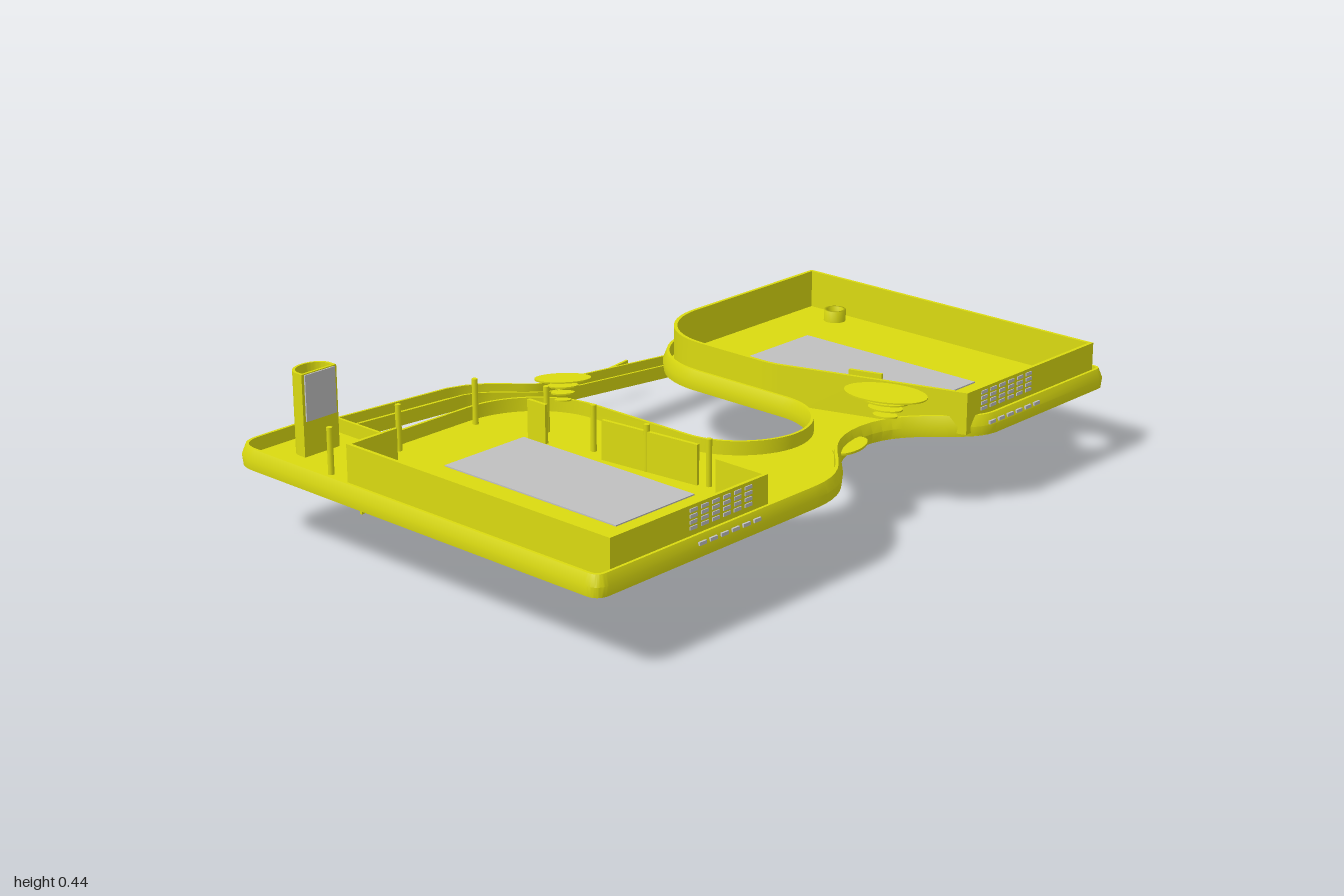
import * as THREE from 'three';
import { toCreasedNormals } from 'three/addons/utils/BufferGeometryUtils.js';

const yellow = new THREE.MeshStandardMaterial({ color: 0xdada10, side: THREE.DoubleSide });
yellow.name = 'yellow';
const grey = new THREE.MeshStandardMaterial({ color: 0xc0c0c0, side: THREE.DoubleSide });
grey.name = 'grey glass';

// Sweeps a convex section of [offset, height] points along a path of [x, z, y]
function sweep(path, section, closed = false) {
  const n = path.length, m = section.length, pos = [], idx = [];
  const dir = (a, b) => new THREE.Vector2(b[0] - a[0], b[1] - a[1]).normalize();
  path.forEach((p, i) => {
    const prev = path[(i + n - 1) % n], next = path[(i + 1) % n];
    const d1 = closed || i < n - 1 ? dir(p, next) : dir(prev, p);
    const d0 = closed || i > 0 ? dir(prev, p) : d1;
    const k = 1 / Math.max(0.4, 1 + d0.dot(d1));
    const nx = -(d0.y + d1.y) * k, nz = (d0.x + d1.x) * k;
    for (const [o, y] of section) pos.push(p[0] + nx * o, (p[2] || 0) + y, p[1] + nz * o);
  });
  for (let i = 0; i < (closed ? n : n - 1); i++) {
    for (let j = 0; j < m; j++) {
      const a = i * m + j, b = i * m + (j + 1) % m;
      const c = ((i + 1) % n) * m + j, d = ((i + 1) % n) * m + (j + 1) % m;
      idx.push(a, b, c, b, d, c);
    }
  }
  if (!closed) {
    const e = (n - 1) * m;
    for (let j = 1; j < m - 1; j++) idx.push(0, j + 1, j, e, e + j, e + j + 1);
  }
  const g = new THREE.BufferGeometry();
  g.setAttribute('position', new THREE.Float32BufferAttribute(pos, 3));
  g.setIndex(idx);
  return toCreasedNormals(g, 0.5);
}

const rect = (o0, o1, y0, y1) => [[o0, y0], [o0, y1], [o1, y1], [o1, y0]];

// Shape drawn in x and z, extruded between two heights
function slab(shape, y0, y1) {
  const g = new THREE.ExtrudeGeometry(shape, { depth: y1 - y0, bevelEnabled: false, curveSegments: 16 });
  return g.rotateX(Math.PI / 2).translate(0, y1, 0);
}

// Removes coincident points so that offsets stay clean
function outlinePoints(shape) {
  const out = [];
  for (const p of shape.getPoints(14)) {
    const q = out[out.length - 1];
    if (!q || Math.hypot(p.x - q[0], p.y - q[1]) > 0.002) out.push([p.x, p.y]);
  }
  const a = out[0], b = out[out.length - 1];
  if (Math.hypot(a[0] - b[0], a[1] - b[1]) < 0.002) out.pop();
  return out;
}

export function createModel() {
  const model = new THREE.Group();
  const add = (name, geometry, material = yellow, x = 0, y = 0, z = 0) => {
    const mesh = new THREE.Mesh(geometry, material);
    mesh.name = name;
    mesh.position.set(x, y, z);
    model.add(mesh);
    return mesh;
  };
  const box = (name, x, y, z, w, h, d, material) =>
    add(name, new THREE.BoxGeometry(w, h, d), material, x, y, z);

  // Base tray: two decks joined by a curved neck
  const base = new THREE.Shape();
  base.moveTo(-0.38, -1);
  base.lineTo(0.615, -1);
  base.quadraticCurveTo(0.65, -1, 0.65, -0.965);
  base.lineTo(0.65, -0.5);
  base.bezierCurveTo(0.64, -0.38, 0.46, -0.36, 0.46, -0.18);
  base.bezierCurveTo(0.46, 0.02, 0.65, 0.02, 0.65, 0.23);
  base.lineTo(0.65, 0.96);
  base.quadraticCurveTo(0.65, 1, 0.61, 1);
  base.lineTo(-0.57, 1);
  base.quadraticCurveTo(-0.65, 1, -0.65, 0.92);
  base.lineTo(-0.65, 0.68);
  base.lineTo(-0.415, 0.68);
  base.lineTo(-0.415, 0.41);
  base.bezierCurveTo(-0.415, 0.27, -0.31, 0.155, -0.17, 0.155);
  base.lineTo(0.16, 0.155);
  base.bezierCurveTo(0.27, 0.155, 0.35, 0.06, 0.35, -0.03);
  base.bezierCurveTo(0.35, -0.12, 0.27, -0.21, 0.16, -0.21);
  base.lineTo(-0.16, -0.21);
  base.bezierCurveTo(-0.3, -0.21, -0.41, -0.32, -0.41, -0.46);
  base.lineTo(-0.41, -0.97);
  base.quadraticCurveTo(-0.41, -1, -0.38, -1);
  const rim = outlinePoints(base);

  // Three-quarter round opening in the back deck
  const opening = new THREE.Path();
  opening.moveTo(0.525, -0.88);
  opening.lineTo(0.525, -0.84);
  opening.absarc(0.54, -0.897, 0.062, 1.8, -2.9, true);
  opening.lineTo(0.48, -0.88);
  base.holes.push(opening);
  add('deckFloor', slab(base, 0.205, 0.222));
  add('deckRim', sweep(rim, [[0, 0.205], [-0.003, 0.232], [0.008, 0.26], [0.016, 0.26], [0.016, 0.21]], true));

  // Glass floor panels
  box('backFloorPanel', 0.1, 0.2145, -0.595, 0.6, 0.022, 0.29, grey);
  box('frontFloorPanel', 0.1, 0.2145, 0.54, 0.6, 0.022, 0.28, grey);

  // Back room walls
  const room = new THREE.Shape();
  room.moveTo(-0.385, -0.975);
  room.lineTo(0.622, -0.975);
  room.lineTo(0.622, -0.41);
  room.lineTo(0.12, -0.255);
  room.quadraticCurveTo(0.09, -0.245, 0.05, -0.245);
  room.lineTo(-0.17, -0.245);
  room.bezierCurveTo(-0.29, -0.245, -0.385, -0.34, -0.385, -0.46);
  room.closePath();
  add('backRoomWall', sweep(outlinePoints(room), rect(0, 0.01, 0.215, 0.33), true));

  // Front room walls and loose partitions
  const wall = rect(-0.005, 0.005, 0.215, 0.33);
  add('frontRoomWall', sweep([[-0.28, 0.77], [-0.28, 0.925], [0.617, 0.925], [0.617, 0.385], [0.46, 0.385]], wall));
  add('middlePartition', sweep([[0.06, 0.373], [0.36, 0.343]], wall));
  add('smallPartition', sweep([[-0.19, 0.39], [-0.125, 0.39]], wall));
  add('backPartition', sweep([[0.27, -0.355], [0.36, -0.382]], wall));

  // Window grids on the left side walls and below them on the rim
  for (const z0 of [0.435, -0.695]) {
    for (let c = 0; c < 6; c++) {
      const z = z0 + 0.018 + c * 0.039;
      for (let r = 0; r < 4; r++)
        box('windowPane', 0.622, 0.272 + r * 0.015, z, 0.006, 0.009, 0.025, grey);
      box('lowerWindowPane', 0.652, 0.241, z, 0.006, 0.009, 0.025, grey);
    }
  }

  // Slim posts around the front room
  const posts = [[-0.37, 0.41], [-0.19, 0.325], [0, 0.345], [0.2, 0.358], [0.385, 0.33], [-0.37, 0.68], [-0.37, 0.91]];
  for (const [x, z] of posts)
    add('post', new THREE.CylinderGeometry(0.008, 0.008, 0.13, 10), yellow, x, 0.283, z);

  // Low round cups standing on the floors
  const cups = [[-0.24, -0.91, 0.032], [-0.32, -0.355, 0.02], [-0.24, -0.285, 0.02],
    [-0.2, 0.83, 0.027], [0.38, 0.83, 0.027], [-0.245, 0.9, 0.02]];
  for (const [x, z, r] of cups) {
    const profile = [[r, 0], [r, 0.035], [r * 0.75, 0.035], [r * 0.75, 0]];
    add('floorCup', new THREE.LatheGeometry(profile.map(p => new THREE.Vector2(...p)), 20), yellow, x, 0.22, z);
  }

  // Oval canopies, each a stack of shrinking discs
  for (const [x, z, a, b, turn] of [[0.47, -0.26, 0.115, 0.073, 0.25], [-0.232, 0.222, 0.075, 0.038, 0.85]]) {
    [1, 0.55, 0.42, 0.3].forEach((s, i) => {
      const g = new THREE.CylinderGeometry(1, 1, 0.004, 32).scale(a * s, 1, b * s).rotateY(turn);
      add('canopyDisc', g, yellow, x, 0.333 - i * 0.02, z);
    });
  }
  const neckDisc = new THREE.CylinderGeometry(1, 1, 0.006, 24).scale(0.035, 1, 0.07).rotateY(0.2);
  add('neckDisc', neckDisc, yellow, 0.485, 0.235, -0.1);

  // Hollow D-shaped tower with a glass face
  const dPath = (Type, r, flat) => {
    const s = new Type();
    s.moveTo(flat, 0.82 - r);
    s.lineTo(flat, 0.82 + r);
    s.lineTo(-0.53, 0.82 + r);
    s.absellipse(-0.53, 0.82, r * 0.8, r, Math.PI / 2, Math.PI * 1.5, false);
    s.closePath();
    return s;
  };
  const tower = dPath(THREE.Shape, 0.058, -0.508);
  tower.holes.push(dPath(THREE.Path, 0.05, -0.515));
  add('tower', toCreasedNormals(slab(tower, 0.205, 0.445), 0.5));
  box('towerGlass', -0.506, 0.38, 0.82, 0.005, 0.125, 0.1, grey);

  // Sloping channel ramp
  const ramp = [[-0.61, 0.69, 0.2], [-0.61, 0.26, 0.178], [-0.602, 0.21, 0.174], [-0.58, 0.16, 0.17],
    [-0.52, 0.08, 0.163], [-0.497, 0.035, 0.158], [-0.49, -0.02, 0.154], [-0.49, -0.5, 0.113],
    [-0.497, -0.56, 0.113], [-0.51, -0.66, 0.112], [-0.51, -0.8, 0.112]];
  add('rampFloor', sweep(ramp, rect(-0.04, 0.04, 0, 0.01)));
  add('rampLeftWall', sweep(ramp, rect(0.033, 0.04, 0, 0.038)));
  add('rampRightWall', sweep(ramp, rect(-0.04, -0.033, 0, 0.038)));

  // Separate lower rail
  const rail = [[-0.65, -0.46, 0.093], [-0.65, 0.02, 0.05], [-0.638, 0.08, 0.046], [-0.61, 0.125, 0.043],
    [-0.56, 0.19, 0.038], [-0.537, 0.23, 0.036], [-0.53, 0.28, 0.033], [-0.53, 0.68, 0.002]];
  add('lowerRail', sweep(rail, rect(-0.004, 0.004, 0, 0.024)));

  return model;
}
